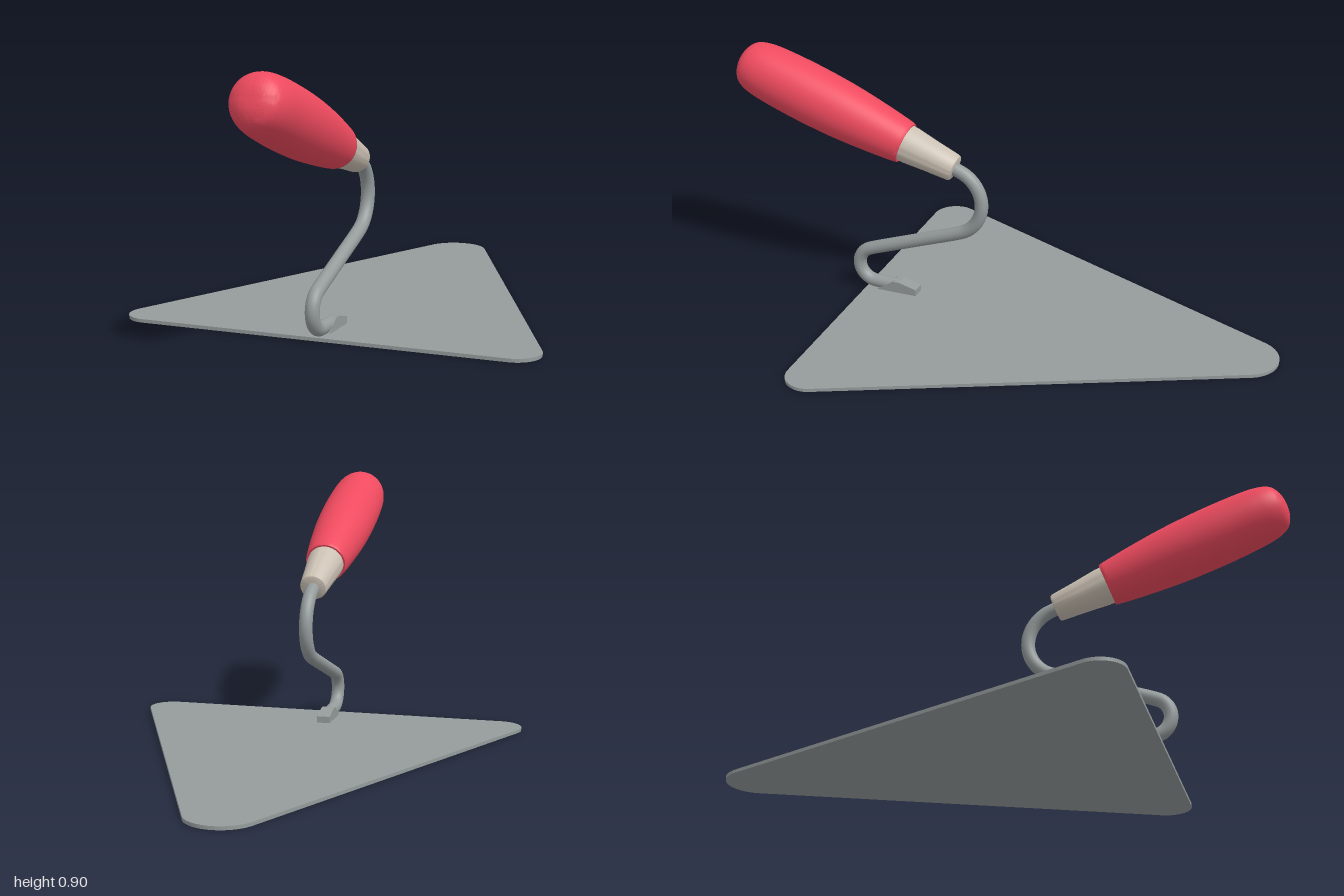
import * as THREE from 'three';
import { toCreasedNormals } from 'three/addons/utils/BufferGeometryUtils.js';

const steel = new THREE.MeshStandardMaterial({ color: 0x959b9b });
const red = new THREE.MeshStandardMaterial({ color: 0xee4a5e });
const beige = new THREE.MeshStandardMaterial({ color: 0xcbc1b4 });
const rad = THREE.MathUtils.degToRad;

function add(group, name, geometry, material) {
  const mesh = new THREE.Mesh(geometry, material);
  mesh.name = name;
  group.add(mesh);
  return mesh;
}

// Points of an arc in the side (z, y) plane
function arc(z, y, r, from, to, n) {
  return Array.from({ length: n + 1 }, (_, i) => {
    const a = rad(from + (to - from) * i / n);
    return new THREE.Vector3(0, y + r * Math.sin(a), z + r * Math.cos(a));
  });
}

const lathe = (pts) => toCreasedNormals(
  new THREE.LatheGeometry(pts.map(([r, y]) => new THREE.Vector2(r, y)), 48), 0.7);

export function createModel() {
  const trowel = new THREE.Group();
  trowel.name = 'trowel';

  // Flat triangular blade with rounded corners
  const tilt = 0.423;
  const outline = new THREE.Shape();
  outline.absarc(0, 0.88, 0.12, tilt, Math.PI - tilt);
  outline.absarc(-0.635, -0.445, 0.085, Math.PI - tilt, Math.PI * 1.5);
  outline.absarc(0.635, -0.445, 0.085, Math.PI * 1.5, Math.PI * 2 + tilt);
  outline.closePath();
  const blade = new THREE.ExtrudeGeometry(outline, { depth: 0.012, bevelEnabled: false, curveSegments: 20 });
  blade.rotateX(-Math.PI / 2);
  add(trowel, 'blade', toCreasedNormals(blade, 0.6), steel);

  // Bent neck rod: two arcs joined by a straight slope
  const neck = new THREE.CatmullRomCurve3([
    new THREE.Vector3(0, 0.57, 0.27),
    ...arc(0.207, 0.412, 0.128, 110, 250, 12),
    new THREE.Vector3(0, 0.228, 0.34),
    ...arc(0.494, 0.101, 0.067, 70, -90, 12),
    new THREE.Vector3(0, 0.031, 0.40),
  ], false, 'centripetal');
  add(trowel, 'neck', new THREE.TubeGeometry(neck, 140, 0.024, 20, false), steel);

  // Wedge-shaped foot fixing the neck to the blade
  const side = new THREE.Shape([
    [0.49, 0.008], [0.42, 0.054], [0.395, 0.054], [0.33, 0.036], [0.33, 0.008],
  ].map(([z, y]) => new THREE.Vector2(z, y)));
  const foot = new THREE.ExtrudeGeometry(side, { depth: 0.048, bevelEnabled: false });
  foot.rotateY(-Math.PI / 2).translate(0.024, 0, 0);
  add(trowel, 'foot', foot, steel);

  // Grip assembly, tilted up toward the front
  const grip = new THREE.Group();
  grip.name = 'grip';
  grip.position.set(0, 0.608, 0.362);
  grip.rotation.x = rad(70);
  trowel.add(grip);

  add(grip, 'ferrule', lathe([
    [0, -0.198], [0.04, -0.198], [0.046, -0.195], [0.049, -0.188],
    [0.057, -0.1], [0.066, -0.02], [0.067, 0.02],
  ]), beige);

  const profile = new THREE.SplineCurve([
    [0.07, 0], [0.077, 0.012], [0.09, 0.12], [0.101, 0.25], [0.105, 0.38], [0.104, 0.48],
    [0.1, 0.56], [0.092, 0.61], [0.077, 0.643], [0.05, 0.662], [0.025, 0.669], [0, 0.67],
  ].map(([r, y]) => new THREE.Vector2(r, y))).getPoints(66);
  profile.forEach((p) => { p.x = Math.max(p.x, 0); });
  profile.unshift(new THREE.Vector2(0.05, 0));
  add(grip, 'handle', lathe(profile.map((p) => [p.x, p.y])), red);

  return trowel;
}
